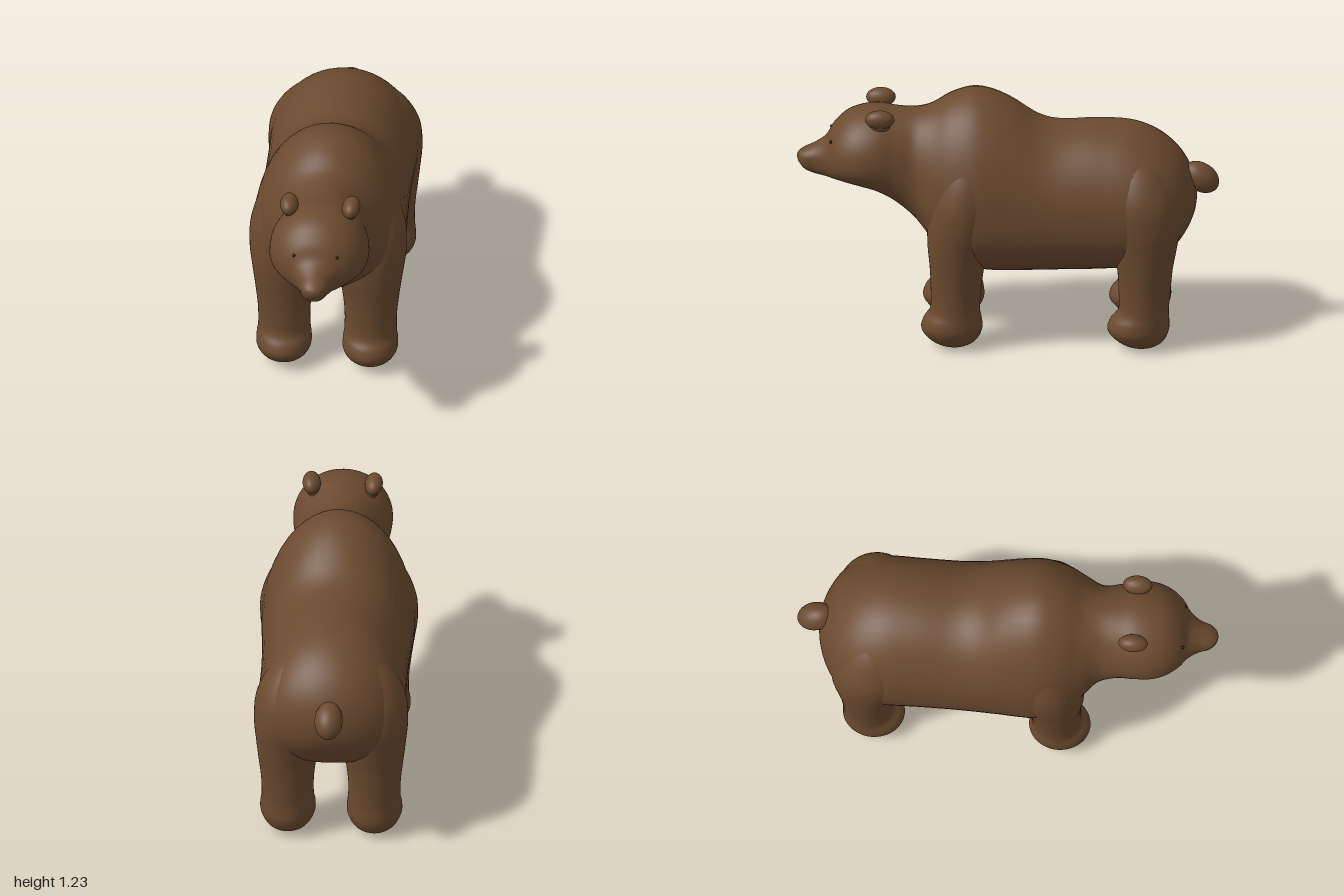
import * as THREE from 'three';
import { mergeVertices } from 'three/addons/utils/BufferGeometryUtils.js';

const SIDES = 48, STEPS = 5;

// Smoothly interpolate between rows of section sizes (Catmull-Rom per column)
function refine(rows) {
  const out = [];
  const at = i => rows[Math.max(0, Math.min(rows.length - 1, i))];
  for (let i = 0; i < rows.length - 1; i++) {
    const [p, q, r, s] = [at(i - 1), at(i), at(i + 1), at(i + 2)];
    for (let k = 0; k < STEPS; k++) {
      const t = k / STEPS;
      out.push(q.map((v, c) => {
        const m0 = (r[c] - p[c]) / 2, m1 = (s[c] - v) / 2, d = r[c] - v;
        return v + t * (m0 + t * (3 * d - 2 * m0 - m1 + t * (m0 + m1 - 2 * d)));
      }));
    }
  }
  out.push(rows[rows.length - 1]);
  return out;
}

// Skin a closed surface over rings; point(row, angle) places each corner
function loft(rows, point) {
  const rings = refine(rows), pos = [], index = [];
  rings.forEach((row, i) => {
    for (let j = 0; j < SIDES; j++) {
      pos.push(...point(row, j / SIDES * Math.PI * 2));
      if (i === rings.length - 1) continue;
      const a = i * SIDES + j, b = i * SIDES + (j + 1) % SIDES;
      index.push(a, b, a + SIDES, b, b + SIDES, a + SIDES);
    }
  });
  let g = new THREE.BufferGeometry();
  g.setAttribute('position', new THREE.Float32BufferAttribute(pos, 3));
  g.setIndex(index);
  g = mergeVertices(g, 1e-5);
  g.computeVertexNormals();
  return g;
}

// Body sections: z, top, widest height, bottom, half width
const bodyRows = [
  [-0.895, 0.70, 0.70, 0.70, 0],
  [-0.885, 0.77, 0.69, 0.63, 0.09],
  [-0.85, 0.86, 0.67, 0.55, 0.19],
  [-0.79, 0.94, 0.66, 0.47, 0.275],
  [-0.70, 1.01, 0.65, 0.41, 0.33],
  [-0.58, 1.055, 0.65, 0.37, 0.35],
  [-0.42, 1.065, 0.65, 0.355, 0.347],
  [-0.25, 1.057, 0.65, 0.35, 0.347],
  [-0.14, 1.085, 0.65, 0.347, 0.35],
  [-0.02, 1.165, 0.65, 0.345, 0.355],
  [0.08, 1.212, 0.65, 0.348, 0.362],
  [0.17, 1.225, 0.65, 0.365, 0.362],
  [0.27, 1.195, 0.67, 0.42, 0.335],
  [0.36, 1.142, 0.72, 0.50, 0.28],
  [0.44, 1.125, 0.80, 0.595, 0.222],
  [0.53, 1.127, 0.87, 0.675, 0.22],
  [0.61, 1.137, 0.90, 0.725, 0.234],
  [0.69, 1.128, 0.90, 0.755, 0.233],
  [0.76, 1.10, 0.90, 0.772, 0.21],
  [0.82, 1.045, 0.90, 0.782, 0.165],
  [0.86, 0.98, 0.89, 0.787, 0.112],
  [0.91, 0.946, 0.88, 0.795, 0.075],
  [0.96, 0.922, 0.88, 0.815, 0.058],
  [0.99, 0.902, 0.88, 0.85, 0.032],
  [1.0, 0.88, 0.88, 0.88, 0],
];
const bodyPoint = ([z, top, mid, bottom, w], a) => {
  const c = Math.cos(a), s = Math.sin(a);
  // The underside is slightly squarer than the back
  const k = s < 0 ? Math.pow(Math.abs(c) ** 2.3 + Math.abs(s) ** 2.3, -1 / 2.3) : 1;
  return [w * c * k, mid + s * k * (s > 0 ? top - mid : mid - bottom), z];
};

// Leg sections: height, centre x, centre z, half width, half depth
const frontLegRows = [
  [0, 0.205, 0.25, 0, 0],
  [0.01, 0.205, 0.25, 0.055, 0.06],
  [0.04, 0.205, 0.255, 0.102, 0.112],
  [0.09, 0.205, 0.262, 0.129, 0.144],
  [0.14, 0.205, 0.258, 0.13, 0.138],
  [0.19, 0.205, 0.247, 0.124, 0.118],
  [0.29, 0.206, 0.242, 0.125, 0.12],
  [0.40, 0.206, 0.238, 0.137, 0.129],
  [0.51, 0.203, 0.232, 0.155, 0.145],
  [0.63, 0.20, 0.215, 0.173, 0.162],
  [0.76, 0.195, 0.20, 0.172, 0.16],
  [0.90, 0.175, 0.185, 0.145, 0.13],
  [1.0, 0.15, 0.175, 0.09, 0.08],
  [1.03, 0.14, 0.17, 0, 0],
];
const hindLegRows = [
  [0, 0.205, -0.635, 0, 0],
  [0.01, 0.205, -0.635, 0.055, 0.06],
  [0.04, 0.205, -0.63, 0.102, 0.112],
  [0.09, 0.205, -0.62, 0.129, 0.145],
  [0.14, 0.205, -0.627, 0.13, 0.14],
  [0.19, 0.205, -0.645, 0.124, 0.12],
  [0.29, 0.206, -0.65, 0.125, 0.123],
  [0.40, 0.206, -0.652, 0.137, 0.132],
  [0.51, 0.203, -0.652, 0.152, 0.152],
  [0.63, 0.20, -0.645, 0.165, 0.178],
  [0.76, 0.19, -0.635, 0.162, 0.17],
  [0.88, 0.16, -0.62, 0.13, 0.13],
  [0.96, 0.13, -0.61, 0.07, 0.07],
  [0.98, 0.12, -0.60, 0, 0],
];

export function createModel() {
  const model = new THREE.Group();
  model.name = 'bear';
  const fur = new THREE.MeshStandardMaterial({ color: 0x6b4a2f });
  fur.name = 'brownFur';
  const dark = new THREE.MeshStandardMaterial({ color: 0x1c130c });
  dark.name = 'eyeBlack';

  const add = (name, geometry, material = fur) => {
    const mesh = new THREE.Mesh(geometry, material);
    mesh.name = name;
    model.add(mesh);
    return mesh;
  };
  const blob = (name, position, radii, material) => {
    const mesh = add(name, new THREE.SphereGeometry(1, 32, 20), material);
    mesh.position.set(...position);
    mesh.scale.set(...radii);
    return mesh;
  };

  add('bodyAndHead', loft(bodyRows, bodyPoint));

  for (const [side, s] of [['left', 1], ['right', -1]]) {
    const legPoint = ([y, x, z, rx, rz], a) =>
      [s * x + rx * Math.cos(a), y, z - rz * Math.sin(a)];
    add(side + 'FrontLeg', loft(frontLegRows, legPoint));
    add(side + 'HindLeg', loft(hindLegRows, legPoint));

    // Rounded ear on a short root
    blob(side + 'Ear', [s * 0.147, 1.122, 0.605], [0.042, 0.046, 0.07]).rotation.z = -s * 0.5;
    blob(side + 'EarRoot', [s * 0.132, 1.085, 0.605], [0.036, 0.05, 0.05]).rotation.z = -s * 0.5;

    blob(side + 'Eye', [s * 0.103, 0.989, 0.838], [0.007, 0.007, 0.007], dark);
  }

  // Stubby tail drooping backwards
  blob('tail', [0, 0.785, -0.912], [0.067, 0.068, 0.094]).rotation.x = -0.6;

  return model;
}
